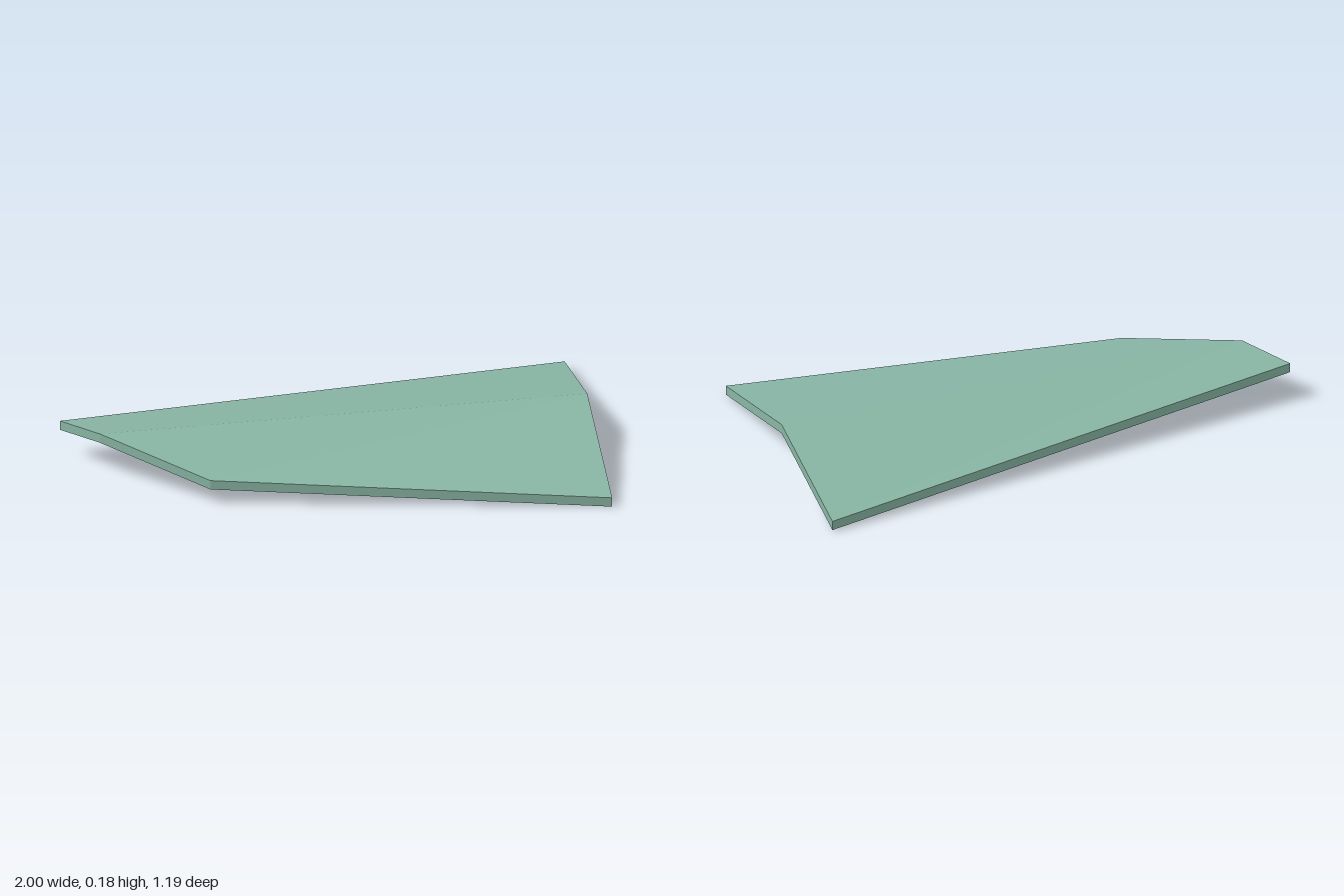
import * as THREE from 'three';

// Top outline of the folded plate, counter-clockwise seen from above
const outline = [
  [-1, 0.148, -0.16],   // 0 back tip
  [-0.875, 0.175, 0.03], // 1 ridge, narrow end
  [-0.5, 0.1, 0.34],    // 2 front corner, narrow end
  [1, 0.038, 0.592],    // 3 front corner, wide end
  [1, 0.178, -0.03],    // 4 ridge, wide end
  [1, 0.042, -0.595],   // 5 back corner, wide end
];
const panels = [[0, 1, 5], [1, 4, 5], [1, 2, 4], [2, 3, 4]];
const thickness = 0.037;

// Skin the top and underside, then close the rim with quads
function foldedPlate() {
  const pos = [];
  const put = (i, drop) => pos.push(outline[i][0], outline[i][1] - drop, outline[i][2]);
  for (const [a, b, c] of panels) {
    [a, b, c].forEach((i) => put(i, 0));
    [a, c, b].forEach((i) => put(i, thickness));
  }
  outline.forEach((_, i) => {
    const j = (i + 1) % outline.length;
    put(i, 0); put(i, thickness); put(j, thickness);
    put(i, 0); put(j, thickness); put(j, 0);
  });
  const geo = new THREE.BufferGeometry();
  geo.setAttribute('position', new THREE.Float32BufferAttribute(pos, 3));
  geo.computeVertexNormals();
  return geo;
}

export function createModel() {
  const green = new THREE.MeshStandardMaterial({ color: 0x88b5a4 });
  green.name = 'sage green';
  const group = new THREE.Group();
  group.name = 'foldedPanel';
  const plate = new THREE.Mesh(foldedPlate(), green);
  plate.name = 'ridgedPlate';
  group.add(plate);
  return group;
}
